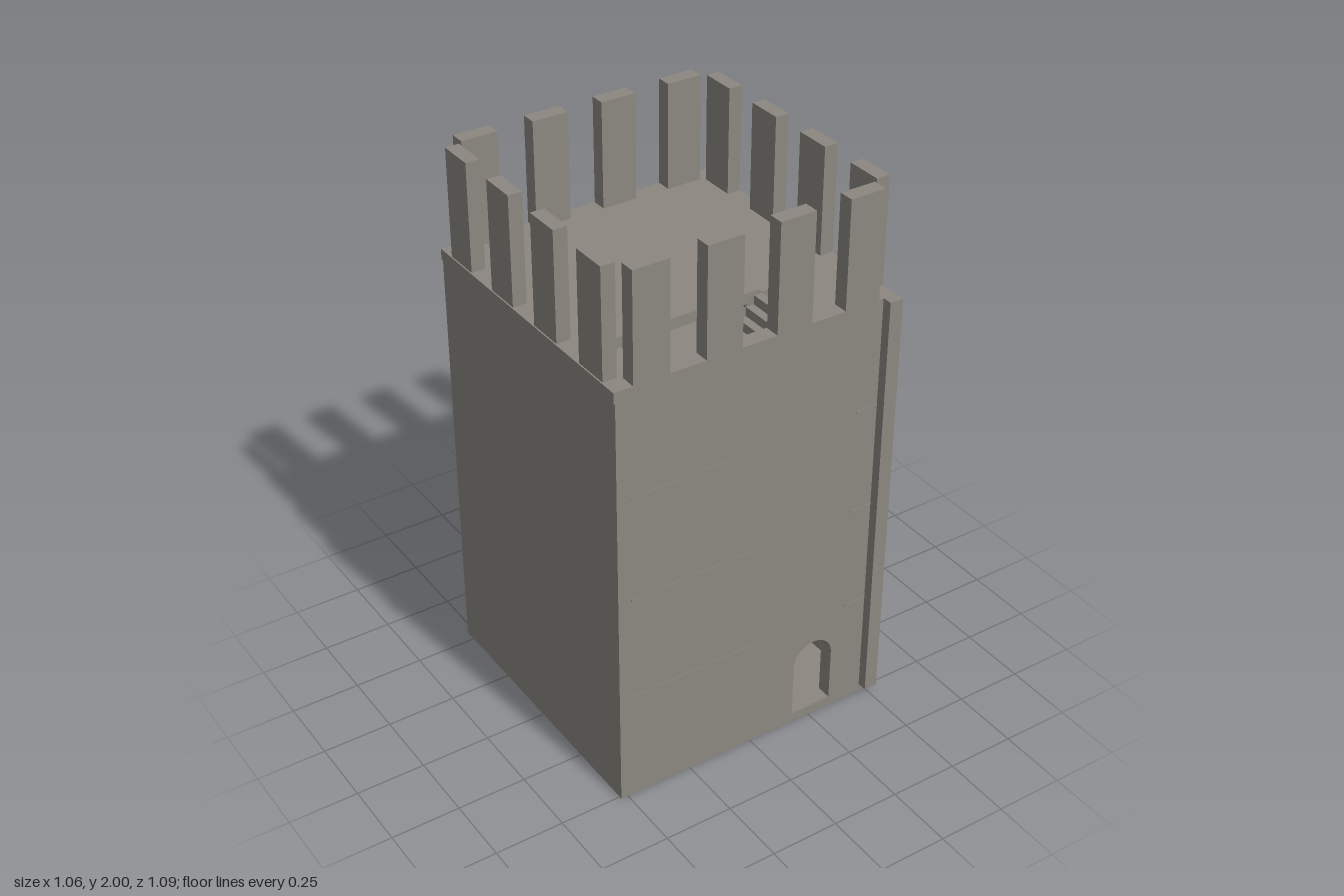
import * as THREE from 'three';

const stone = new THREE.MeshStandardMaterial({ color: 0x8c8880, roughness: 0.95 });

const X = 0.525, BACK = -0.545, FRONT = 0.51; // outer faces
const IN = 0.475, IN_BACK = -0.49, IN_FRONT = 0.455; // inner faces
const LEVELS = [0.03, 0.425, 0.82, 1.215, 1.61]; // walking surface of every storey

export function createModel() {
  const tower = new THREE.Group();
  tower.name = 'tower';

  const add = (parent, name, geometry) => {
    const mesh = new THREE.Mesh(geometry, stone);
    mesh.name = name;
    parent.add(mesh);
    return mesh;
  };
  // box from its minimum and maximum corners
  const box = (parent, name, x0, x1, y0, y1, z0, z1) => {
    const mesh = add(parent, name, new THREE.BoxGeometry(x1 - x0, y1 - y0, z1 - z0));
    mesh.position.set((x0 + x1) / 2, (y0 + y1) / 2, (z0 + z1) / 2);
    return mesh;
  };
  const rect = (a0, a1, b0, b1, Type = THREE.Shape) => new Type([
    new THREE.Vector2(a0, b0), new THREE.Vector2(a1, b0),
    new THREE.Vector2(a1, b1), new THREE.Vector2(a0, b1),
  ]);
  const extrude = (shape, depth) =>
    new THREE.ExtrudeGeometry(shape, { depth, bevelEnabled: false, curveSegments: 12 });

  // base slab
  box(tower, 'base', -X, X, 0, LEVELS[0], BACK, FRONT);

  // front wall with an arched doorway
  const frontShape = rect(-X, IN, LEVELS[0], 1.57);
  const door = new THREE.Path();
  door.moveTo(0.18, 0.035);
  door.lineTo(0.34, 0.035);
  door.lineTo(0.34, 0.24);
  door.absarc(0.26, 0.24, 0.08, 0, Math.PI, false);
  door.lineTo(0.18, 0.035);
  frontShape.holes.push(door);
  add(tower, 'frontWall', extrude(frontShape, FRONT - IN_FRONT)).position.z = IN_FRONT;

  // right wall with two arrow slits, running a little past the front wall
  const sideShape = rect(BACK, 0.545, LEVELS[0], LEVELS[4]);
  for (const z of [-0.145, 0.25]) {
    sideShape.holes.push(rect(z - 0.012, z + 0.012, 0.18, 0.335, THREE.Path));
  }
  // the shape is drawn along z, so mirror it before turning it to face +x
  const mirrored = new THREE.Shape(sideShape.getPoints().map((p) => new THREE.Vector2(-p.x, p.y)));
  mirrored.holes = sideShape.holes.map(
    (h) => new THREE.Path(h.getPoints().map((p) => new THREE.Vector2(-p.x, p.y))));
  const sideWall = add(tower, 'slitWall', extrude(mirrored, X - IN));
  sideWall.rotation.y = Math.PI / 2;
  sideWall.position.x = IN;

  // plain back and side walls
  box(tower, 'backWall', -X, IN, LEVELS[0], 1.57, BACK, IN_BACK);
  box(tower, 'plainSideWall', -X, -IN, LEVELS[0], 1.57, IN_BACK, IN_FRONT);

  // stairwell openings, one per storey, winding round the four walls
  const wells = [
    [0.265, IN, -0.21, IN_FRONT],
    [-0.21, IN, IN_BACK, -0.28],
    [-IN, -0.265, IN_BACK, 0.21],
    [-IN, 0.21, 0.245, IN_FRONT],
  ];
  wells.forEach(([x0, x1, z0, z1], i) => {
    const roof = i === 3;
    const slab = roof ? rect(-0.53, IN, -FRONT, -BACK) : rect(-IN, IN, -IN_FRONT, -IN_BACK);
    // keep a hair of slab at the wall so the opening stays inside the outline
    const e = 0.002;
    slab.holes.push(rect(x0 + e, x1 - e, -z1 + e, -z0 - e, THREE.Path));
    const floor = add(tower, roof ? 'roof' : 'floor', extrude(slab, 0.04));
    floor.rotation.x = -Math.PI / 2;
    floor.position.y = LEVELS[i + 1] - 0.04;
  });

  // one flight: twelve steps between two sloping stringers, rising toward +x
  const STEPS = 12, X0 = -0.185, RUN = 0.365, RISE = 0.395;
  const makeFlight = () => {
    const flight = new THREE.Group();
    flight.name = 'stairFlight';
    const tread = RUN / STEPS, rise = RISE / STEPS;
    for (let i = 0; i < STEPS; i++) {
      const top = (i + 1) * rise - 0.003;
      box(flight, 'step', X0 + i * tread, X0 + (i + 1) * tread,
        Math.max(0, top - 2 * rise), top, 0.265, 0.435);
    }
    const side = new THREE.Shape([
      [X0, 0], [X0 + 0.05, 0], [0.21, RISE - 0.06], [0.21, RISE],
      [0.18, RISE], [X0, 0.03],
    ].map(([x, y]) => new THREE.Vector2(x, y)));
    for (const z of [0.245, 0.433]) {
      add(flight, 'stringer', extrude(side, 0.02)).position.z = z;
    }
    return flight;
  };
  const shifts = [[0.02, 0], [0, -0.035], [-0.02, 0], [0, 0]];
  shifts.forEach(([x, z], i) => {
    const flight = makeFlight();
    flight.rotation.y = (i + 1) * Math.PI / 2;
    flight.position.set(x, LEVELS[i], z);
    tower.add(flight);
  });

  // tall battlements, four on each side
  for (let i = 0; i < 4; i++) {
    const x = -0.395 + i * 0.262, z = -0.413 + i * 0.263, h = 0.066;
    box(tower, 'merlon', x - h, x + h, LEVELS[4], 2, IN_FRONT, FRONT);
    box(tower, 'merlon', x - h, x + h, LEVELS[4], 2, BACK, IN_BACK);
    box(tower, 'merlon', -X, -IN, LEVELS[4], 2, z - h, z + h);
    box(tower, 'merlon', IN, X, LEVELS[4], 2, z - h, z + h);
  }

  // thin joint lines where the floors meet the outer faces
  const t = 0.002;
  for (const y of LEVELS.slice(1, 4)) {
    for (const [a, b] of [[-0.475, 0], [0.39, 0.475]]) {
      box(tower, 'joint', a, b, y - 0.007, y, FRONT - t, FRONT + t);
    }
    for (const [a, b] of [[0.315, 0.415], [BACK, -0.21]]) {
      box(tower, 'joint', X - t, X + t, y - 0.007, y, a, b);
    }
    box(tower, 'joint', -0.475, X, y - 0.007, y, BACK - t, BACK + t);
  }

  return tower;
}
